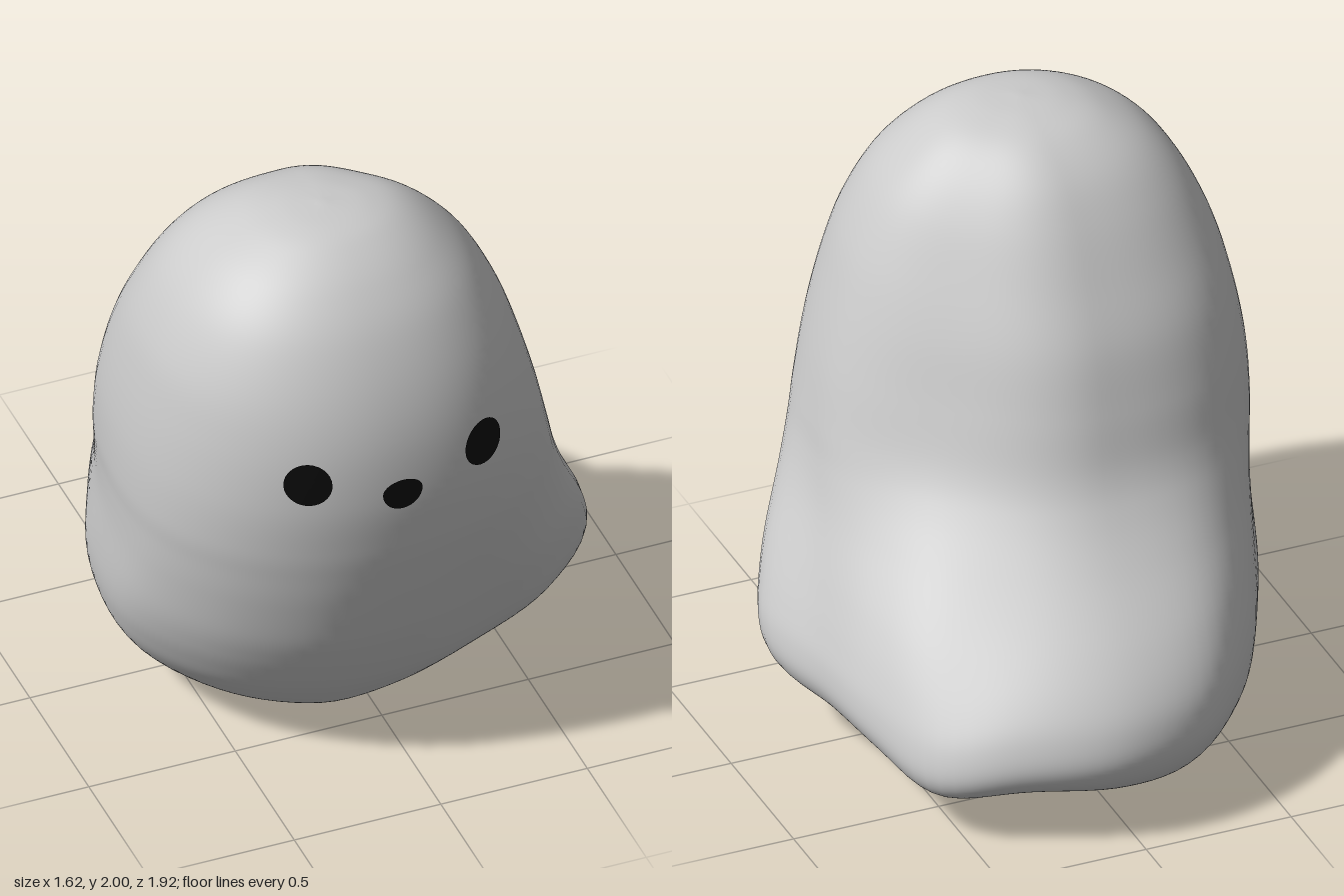
import * as THREE from 'three';
import { mergeVertices } from 'three/addons/utils/BufferGeometryUtils.js';

// Horizontal slices from crown to underside: height, x range, z range, how much the slice follows the base outline
const SLICES = [
  [2, -0.15, -0.15, 0.37, 0.37, 0],
  [1.987, -0.29, 0, 0.24, 0.5, 0],
  [1.95, -0.41, 0.12, 0.12, 0.59, 0],
  [1.87, -0.54, 0.23, 0.01, 0.695, 0],
  [1.75, -0.645, 0.335, -0.085, 0.795, 0],
  [1.58, -0.725, 0.425, -0.185, 0.88, 0],
  [1.4, -0.77, 0.49, -0.28, 0.93, 0],
  [1.2, -0.8, 0.55, -0.35, 0.945, 0.02],
  [1.02, -0.81, 0.595, -0.41, 0.93, 0.13],
  [0.9, -0.805, 0.625, -0.485, 0.91, 0.3],
  [0.77, -0.8, 0.67, -0.605, 0.88, 0.55],
  [0.6, -0.795, 0.745, -0.795, 0.83, 0.85],
  [0.48, -0.785, 0.79, -0.9, 0.78, 0.97],
  [0.38, -0.765, 0.815, -0.95, 0.73, 1],
  [0.28, -0.73, 0.81, -0.96, 0.67, 1],
  [0.18, -0.665, 0.765, -0.92, 0.59, 1],
  [0.1, -0.575, 0.68, -0.83, 0.51, 1],
  [0.045, -0.45, 0.54, -0.67, 0.4, 1],
  [0.015, -0.33, 0.3, -0.38, 0.31, 1],
  [0.003, -0.25, 0, 0, 0.24, 1],
  [0, -0.2, -0.2, 0.2, 0.2, 1],
];

// Radii of the lopsided base outline at equal angles, from +x towards +z
const BASE = [0.93, 1.07, 1.01, 0.95, 0.98, 1.05, 1.08, 1.07, 0.98, 0.91, 0.93, 0.99, 1, 0.99, 1.02, 0.94];

const AROUND = 96, DOWN = 140;

// Upper slices are nearly round: fuller across the face and the back right, slimmer at the back left
function roundness(a) {
  const s = Math.sin(2 * a);
  if (Math.sin(a) > 0) return 1 + (s > 0 ? 0.045 : 0.015) * s * s;
  return 1 + 0.1 * s * Math.abs(s);
}

// Underside rises towards +x, a little to the back, with a hollow beside the drooping rear corner
function lift(x, z, y) {
  const bump = (cx, cz, w) => Math.exp(-((x - cx) ** 2 + (z - cz) ** 2) / w);
  const fade = Math.max(0, 1 - y / 0.4) ** 2;
  const t = Math.max(0, x + 0.2);
  const rise = 0.19 * t * t / (t + 0.1) + 0.05 * Math.max(0, -z);
  return fade * (rise + 0.09 * bump(0.28, -0.5, 0.07)) - 0.07 * bump(0.62, -0.7, 0.06);
}

function bodyGeometry() {
  const spline = (pts, closed) => new THREE.CatmullRomCurve3(pts, closed, 'catmullrom', 0.5);
  const curveA = spline(SLICES.map(s => new THREE.Vector3(s[0], s[1], s[2])), false);
  const curveB = spline(SLICES.map(s => new THREE.Vector3(s[3], s[4], s[5])), false);
  const outline = spline(BASE.map((r, i) => {
    const a = i / BASE.length * Math.PI * 2;
    return new THREE.Vector3(r * Math.cos(a), 0, r * Math.sin(a));
  }), true);

  const pos = [], index = [];
  for (let i = 0; i <= DOWN; i++) {
    const { x: y, y: x0, z: x1 } = curveA.getPoint(i / DOWN);
    const { x: z0, y: z1, z: w } = curveB.getPoint(i / DOWN);
    for (let j = 0; j < AROUND; j++) {
      const a = j / AROUND * Math.PI * 2;
      const p = outline.getPoint(j / AROUND);
      const r = roundness(a);
      const x = (x0 + x1) / 2 + (x1 - x0) / 2 * THREE.MathUtils.lerp(r * Math.cos(a), p.x, w);
      const z = (z0 + z1) / 2 + (z1 - z0) / 2 * THREE.MathUtils.lerp(r * Math.sin(a), p.z, w);
      pos.push(x, Math.max(0, y + lift(x, z, y)), z);
      if (i < DOWN) {
        const k = (j + 1) % AROUND, q = i * AROUND, n = q + AROUND;
        index.push(q + j, q + k, n + j, q + k, n + k, n + j);
      }
    }
  }
  const geo = new THREE.BufferGeometry();
  geo.setAttribute('position', new THREE.Float32BufferAttribute(pos, 3));
  geo.setIndex(index);
  const merged = mergeVertices(geo, 1e-5);
  merged.computeVertexNormals();
  return merged;
}

// Thin oval patch laid onto the front of the body
function facePatch(body, name, cx, cy, rx, up, down) {
  const geo = new THREE.CircleGeometry(1, 28);
  const p = geo.attributes.position;
  const ray = new THREE.Raycaster();
  for (let i = 0; i < p.count; i++) {
    const x = cx + p.getX(i) * rx;
    const y = cy + p.getY(i) * (p.getY(i) > 0 ? up : down);
    ray.set(new THREE.Vector3(x, y, 3), new THREE.Vector3(0, 0, -1));
    const hit = ray.intersectObject(body)[0];
    p.setXYZ(i, x, y, (hit ? hit.point.z : 0.9) + 0.01);
  }
  geo.computeVertexNormals();
  const mesh = new THREE.Mesh(geo, new THREE.MeshStandardMaterial({ color: 0x0a0a0a, side: THREE.DoubleSide }));
  mesh.name = name;
  return mesh;
}

export function createModel() {
  const group = new THREE.Group();
  group.name = 'ghost';

  const body = new THREE.Mesh(bodyGeometry(), new THREE.MeshStandardMaterial({ color: 0xcccccc }));
  body.name = 'body';
  group.add(body);

  // Eyes and small flat-topped mouth
  group.add(
    facePatch(body, 'rightEye', -0.41, 1.31, 0.072, 0.08, 0.075),
    facePatch(body, 'leftEye', 0.19, 1.31, 0.072, 0.08, 0.075),
    facePatch(body, 'mouth', -0.11, 1.245, 0.068, 0.045, 0.065),
  );
  return group;
}
